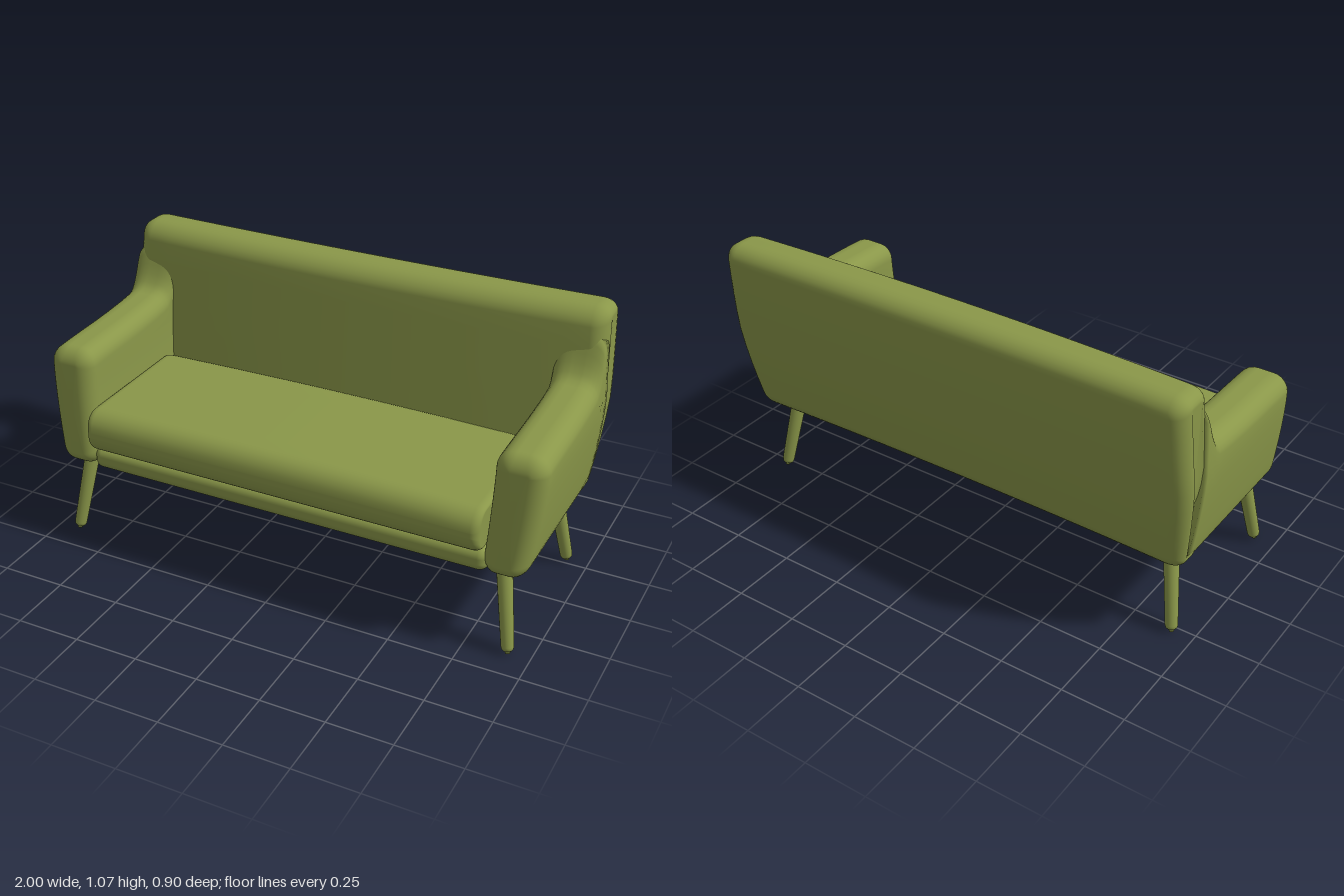
import * as THREE from 'three';
import { RoundedBoxGeometry } from 'three/addons/geometries/RoundedBoxGeometry.js';

const { lerp, clamp } = THREE.MathUtils;

// Rounded rectangle as a closed loop of [a, b] points, sides subdivided
function ring(a0, a1, b0, b1, r) {
  const pts = [], corners = [[a1 - r, b0 + r], [a1 - r, b1 - r], [a0 + r, b1 - r], [a0 + r, b0 + r]];
  corners.forEach(([ca, cb], k) => {
    for (let i = 0; i <= 6; i++) {
      const t = (k - 1 + i / 6) * Math.PI / 2;
      pts.push([ca + r * Math.cos(t), cb + r * Math.sin(t)]);
    }
    const p = pts[pts.length - 1], [na, nb] = corners[(k + 1) % 4], e = k * Math.PI / 2;
    const q = [na + r * Math.cos(e), nb + r * Math.sin(e)];
    for (let i = 1; i < 8; i++) pts.push([lerp(p[0], q[0], i / 8), lerp(p[1], q[1], i / 8)]);
  });
  return pts;
}

// Quarter-circle end: [distance from the end, inset], from the tip inwards
const roundEnd = (R, steps = 7) => Array.from({ length: steps + 1 }, (_, i) => {
  const t = i / steps * Math.PI / 2;
  return [R * (1 - Math.cos(t)), R * (1 - Math.sin(t))];
});

// Stations [x, inset] from -half to half with both ends rounded
function stations(half, R, mid) {
  const end = roundEnd(R), out = end.map(([s, d]) => [s - half, d]);
  for (let i = 1; i < mid; i++) out.push([lerp(R - half, half - R, i / mid), 0]);
  return out.concat(end.map(([s, d]) => [half - s, d]).reverse());
}

// Closed skin over loops of [x, y, z], capped at both ends, always facing outwards
function skin(loops) {
  const n = loops[0].length, pos = loops.flat(2), idx = [];
  for (let i = 0; i < loops.length - 1; i++) {
    for (let j = 0; j < n; j++) {
      const a = i * n + j, b = i * n + (j + 1) % n;
      idx.push(a, b, a + n, b, b + n, a + n);
    }
  }
  [0, loops.length - 1].forEach((row) => {
    const c = pos.length / 3, m = [0, 0, 0];
    loops[row].forEach((p) => p.forEach((v, k) => { m[k] += v / n; }));
    pos.push(...m);
    for (let j = 0; j < n; j++) {
      const a = row * n + j, b = row * n + (j + 1) % n;
      if (row === 0) idx.push(c, b, a); else idx.push(c, a, b);
    }
  });
  const P = (i) => new THREE.Vector3().fromArray(pos, i * 3);
  let volume = 0;
  for (let i = 0; i < idx.length; i += 3) volume += P(idx[i]).dot(P(idx[i + 1]).cross(P(idx[i + 2])));
  if (volume < 0) idx.reverse();
  const g = new THREE.BufferGeometry();
  g.setAttribute('position', new THREE.Float32BufferAttribute(pos, 3));
  g.setIndex(idx);
  g.computeVertexNormals();
  return g;
}

// Sides lean outwards up to arm height, then slightly in again
const lean = (y) => (y < 0.72 ? -0.04 * Math.pow((0.72 - y) / 0.38, 1.5) : -0.05 * (y - 0.72));

// Backrest: a raked, slightly bowed slab over the full width
function backGeometry() {
  return skin(stations(0.998, 0.06, 20).map(([x, d]) =>
    ring(-0.09 + d, 0.09 - d, 0.318 + d * 0.7, 1.07 - d * 0.7, Math.max(0.065 - d, 0.005)).map(([a, y]) => {
      const t = (y - 0.31) / 0.76, bow = 1 - x * x;
      const rear = -0.34 - 0.19 * t + 0.075 * t * t + 0.015 * bow;
      const front = -0.19 - 0.08 * t + 0.03 * bow;
      return [x * (1 + lean(y)), y, lerp(rear, front, (a + 0.09) / 0.18)];
    })));
}

// Arm: sections along z whose top edge sweeps up into the backrest
function armGeometry(side) {
  const zFront = 0.405;
  const rows = [[-0.3, 0.99], [-0.27, 0.975], [-0.258, 0.945], [-0.245, 0.905], [-0.23, 0.87], [-0.212, 0.84],
    [-0.19, 0.82], [-0.16, 0.813], [-0.1, 0.806], [0, 0.799], [0.1, 0.795], [0.2, 0.793], [0.3, 0.79]]
    .map(([z, h]) => [z, h, 0]);
  roundEnd(0.06).reverse().forEach(([s, d]) => rows.push([zFront - s, 0.788, d]));
  return skin(rows.map(([z, h, d]) => {
    const bottom = 0.314 + 0.02 * clamp((-z - 0.23) / 0.07, 0, 1);
    return ring(0.81 + d, 1 - d, bottom + d * 0.8, h - d, Math.max(0.065 - d, 0.005)).map(([x, y]) => [
      side * (x + lean(y) * (0.4 + 0.6 * (x - 0.81) / 0.19)),
      y,
      z - 0.03 * clamp(z / 0.4, 0, 1) * (y - 0.34) / 0.4,
    ]);
  }));
}

// Seat cushion with a full, rounded front edge and a slight crown
function cushionGeometry() {
  return skin(stations(0.8, 0.03, 12).map(([x, d]) =>
    ring(-0.19 + d, 0.447 - d, 0.402 + d * 0.5, 0.576 - d * 0.5, Math.max(0.075 - d, 0.005)).map(([z, y]) =>
      [x, y + 0.01 * clamp((y - 0.45) / 0.1, 0, 1) * (1 - x * x / 0.64), z])));
}

// Tapered leg with a rounded foot and a small glide
function legGeometry(length) {
  const profile = [[0, 0], [0.009, 0], [0.01, 0.01], [0.017, 0.012], [0.022, 0.018], [0.024, 0.028], [0.03, length], [0, length]];
  return new THREE.LatheGeometry(profile.map(([r, y]) => new THREE.Vector2(r, y)), 20);
}

export function createModel() {
  const model = new THREE.Group();
  model.name = 'sofa';
  const olive = new THREE.MeshStandardMaterial({ color: 0x8a9749 });
  olive.name = 'olive green';
  const add = (name, geometry) => {
    const mesh = new THREE.Mesh(geometry, olive);
    mesh.name = name;
    model.add(mesh);
    return mesh;
  };

  add('backrest', backGeometry());
  add('leftArm', armGeometry(1));
  add('rightArm', armGeometry(-1));
  add('seatCushion', cushionGeometry());

  // Seat base between the arms, standing slightly proud underneath
  add('seatBase', new RoundedBoxGeometry(1.63, 0.09, 0.65, 5, 0.035)).position.set(0, 0.352, 0.065);

  // Four splayed legs
  for (const side of [1, -1]) {
    for (const end of ['front', 'rear']) {
      const foot = new THREE.Vector3(side * 0.915, 0, end === 'front' ? 0.383 : -0.277);
      const head = new THREE.Vector3(side * 0.86, 0.34, end === 'front' ? 0.325 : -0.219);
      const dir = head.clone().sub(foot);
      const leg = add(`${end}${side > 0 ? 'Left' : 'Right'}Leg`, legGeometry(dir.length()));
      leg.position.copy(foot);
      leg.quaternion.setFromUnitVectors(new THREE.Vector3(0, 1, 0), dir.normalize());
    }
  }
  return model;
}
